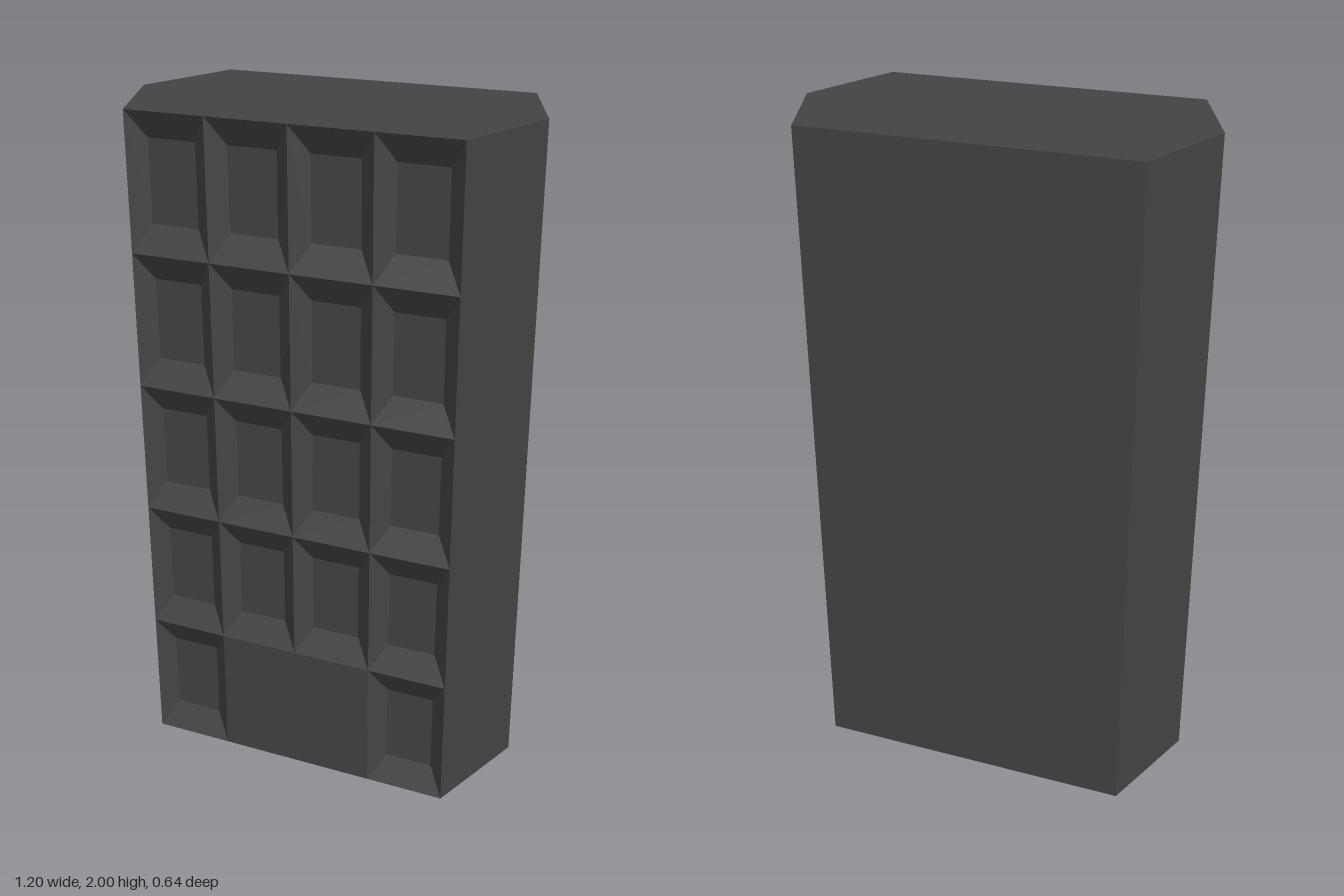
import * as THREE from 'three';

const HEIGHT = 2, HALF_W = 0.48, POINT_W = 0.6, HALF_D = 0.32;
const COLS = 4, ROWS = 5, CELL_W = 0.24, CELL_H = 0.4;
const INSET = 0.2, RECESS = 0.04;

// Flat-faced geometry from polygons whose corners run counter-clockwise
function facets(polygons) {
  const pos = [];
  for (const p of polygons)
    for (let i = 1; i < p.length - 1; i++) pos.push(...p[0], ...p[i], ...p[i + 1]);
  const geo = new THREE.BufferGeometry();
  geo.setAttribute('position', new THREE.Float32BufferAttribute(pos, 3));
  geo.computeVertexNormals();
  return geo;
}

export function createModel() {
  const group = new THREE.Group();
  const material = new THREE.MeshStandardMaterial({ color: 0x444444, flatShading: true });
  const add = (geo, name, x = 0, y = 0, z = 0) => {
    const mesh = new THREE.Mesh(geo, material);
    mesh.name = name;
    mesh.position.set(x, y, z);
    group.add(mesh);
  };

  // Six-sided tower shell: roof, base and every wall but the front
  const plan = [
    [HALF_W, HALF_D], [POINT_W, 0], [HALF_W, -HALF_D],
    [-HALF_W, -HALF_D], [-POINT_W, 0], [-HALF_W, HALF_D],
  ];
  const ring = (y) => plan.map(([x, z]) => [x, y, z]);
  const low = ring(0), high = ring(HEIGHT);
  const shell = [high, [...low].reverse()];
  for (let i = 0; i < 5; i++) shell.push([low[i], low[i + 1], high[i + 1], high[i]]);
  add(facets(shell), 'towerBody');

  // Window: four sloping reveals around a recessed pane
  const rect = (s, z) => [[-1, -1], [1, -1], [1, 1], [-1, 1]]
    .map(([x, y]) => [x * s * CELL_W / 2, y * s * CELL_H / 2, z]);
  const outer = rect(1, 0), inner = rect(1 - 2 * INSET, -RECESS);
  const faces = [inner];
  for (let i = 0; i < 4; i++) {
    const j = (i + 1) % 4;
    faces.push([outer[i], outer[j], inner[j], inner[i]]);
  }
  const windowGeo = facets(faces);

  // Window grid, leaving the two middle ground-floor cells for the door
  for (let r = 0; r < ROWS; r++)
    for (let c = 0; c < COLS; c++) {
      if (r === 0 && (c === 1 || c === 2)) continue;
      add(windowGeo, `window_${r}_${c}`, (c + 0.5) * CELL_W - HALF_W, (r + 0.5) * CELL_H, HALF_D);
    }

  // Flush entrance panel
  add(new THREE.PlaneGeometry(2 * CELL_W, CELL_H), 'entrancePanel', 0, CELL_H / 2, HALF_D);

  return group;
}
